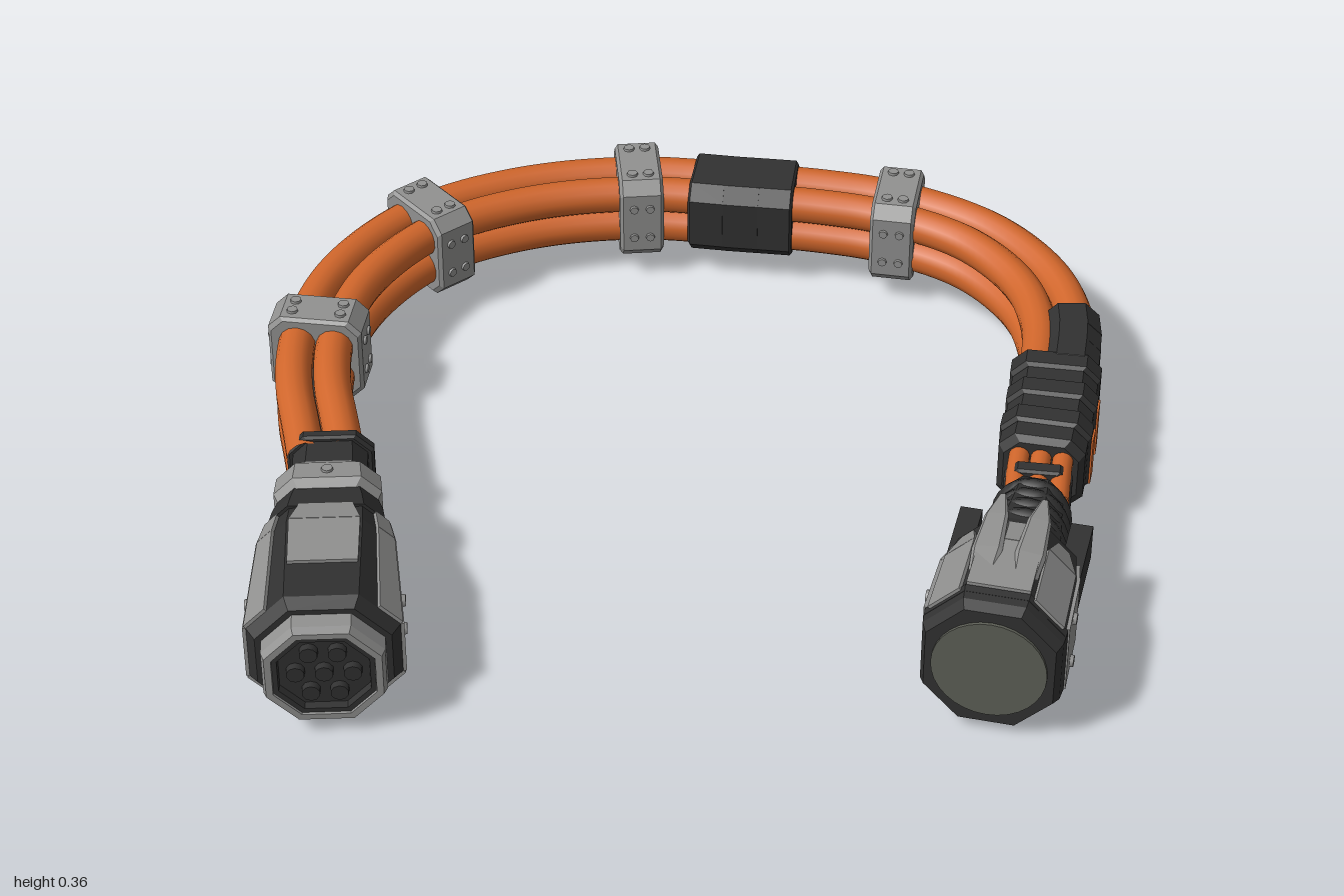
import * as THREE from 'three';

const flat = (name, color) => {
  const m = new THREE.MeshStandardMaterial({ color });
  m.name = name;
  return m;
};

// Eight corners of a chamfered rectangle at depth z
const ring = ([z, hw, hh, c]) => [
  [hw, c - hh], [hw, hh - c], [hw - c, hh], [c - hw, hh],
  [-hw, hh - c], [-hw, c - hh], [c - hw, -hh], [hw - c, -hh],
].map(([x, y]) => new THREE.Vector3(x, y, z));

const faceted = (tris) => {
  const g = new THREE.BufferGeometry().setFromPoints(tris);
  g.computeVertexNormals();
  return g;
};

// Hard-edged loft through sections [z, halfWidth, halfHeight, chamfer]
function loft(sections) {
  const rings = sections.map(ring), tris = [];
  for (let i = 0; i + 1 < rings.length; i++) {
    for (let k = 0; k < 8; k++) {
      const n = (k + 1) % 8, A = rings[i], B = rings[i + 1];
      tris.push(A[k], A[n], B[n], A[k], B[n], B[k]);
    }
  }
  const s = rings[0], e = rings[rings.length - 1];
  for (let k = 1; k < 7; k++) tris.push(s[0], s[k + 1], s[k], e[0], e[k], e[k + 1]);
  return faceted(tris);
}

// Raised armour plate on facet k between two sections; u runs across, t along
function plate(a, b, k, u0, u1, t0, t1, taper = 0) {
  const A = ring(a), B = ring(b), n = (k + 1) % 8;
  const p = (u, t) => A[k].clone().lerp(A[n], u).lerp(B[k].clone().lerp(B[n], u), t);
  const q = [p(u0 + taper, t0), p(u1 - taper, t0), p(u1, t1), p(u0, t1)];
  const nor = q[1].clone().sub(q[0]).cross(q[3].clone().sub(q[0])).normalize();
  const o = q.map((v) => v.clone().addScaledVector(nor, 0.008));
  const d = q.map((v) => v.clone().addScaledVector(nor, -0.006));
  const tris = [o[0], o[1], o[2], o[0], o[2], o[3]];
  for (let i = 0; i < 4; i++) {
    const j = (i + 1) % 4;
    tris.push(d[i], d[j], o[j], d[i], o[j], o[i]);
  }
  return faceted(tris);
}

// Short band with bevelled ends
const band = (len, hw, hh, c, bevel = 0.01) => loft([
  [-len / 2, hw - bevel, hh - bevel, c], [-len / 2 + bevel, hw, hh, c],
  [len / 2 - bevel, hw, hh, c], [len / 2, hw - bevel, hh - bevel, c]]);

export function createModel() {
  const orange = flat('orange cable', 0xd0662b), grey = flat('grey metal', 0x919190);
  const dark = flat('dark rubber', 0x313131), lens = flat('end disc', 0x5d5f56);
  const model = new THREE.Group();
  const add = (parent, name, geo, mat, x = 0, y = 0, z = 0) => {
    const m = new THREE.Mesh(geo, mat);
    m.name = name;
    m.position.set(x, y, z);
    parent.add(m);
    return m;
  };
  const group = (name, x, y, z, turn) => {
    const g = new THREE.Group();
    g.name = name;
    g.position.set(x, y, z);
    g.rotation.y = turn;
    model.add(g);
    return g;
  };

  // Centre line of the cable bundle
  const path = new THREE.CatmullRomCurve3([
    [-0.775, 0.34], [-0.81, 0.2], [-0.86, 0], [-0.872, -0.2], [-0.82, -0.44], [-0.67, -0.67],
    [-0.44, -0.81], [-0.16, -0.875], [0.1, -0.865], [0.3, -0.85], [0.49, -0.81], [0.7, -0.7],
    [0.84, -0.52], [0.89, -0.33], [0.88, -0.1], [0.865, 0.05], [0.845, 0.2], [0.835, 0.34],
  ].map(([x, z]) => new THREE.Vector3(x, 0.175, z)));
  const samples = path.getSpacedPoints(500);
  const nearest = (x, z) => {
    let best = 0;
    samples.forEach((p, i) => {
      if (Math.hypot(p.x - x, p.z - z) < Math.hypot(samples[best].x - x, samples[best].z - z)) best = i;
    });
    return best / 500;
  };
  // Group riding the path: local z follows it, local x points outward
  const station = (name, x, z, skew = 0) => {
    const u = nearest(x, z), p = path.getPointAt(u), t = path.getTangentAt(u);
    return group(name, p.x, p.y, p.z, Math.atan2(t.x, t.z) + skew);
  };
  const strand = (name, mat, u0, u1, side, up, r, steps) => {
    const pts = [];
    for (let i = 0; i <= steps; i++) {
      const u = u0 + (u1 - u0) * i / steps, p = path.getPointAt(u), t = path.getTangentAt(u);
      pts.push(new THREE.Vector3(p.x + t.z * side, p.y + up, p.z - t.x * side));
    }
    add(model, name, new THREE.TubeGeometry(new THREE.CatmullRomCurve3(pts), steps * 3, r, 14), mat);
  };

  // Four main cables round a dark core, then thin strands at the right end
  const start = nearest(-0.787, 0.29), split = nearest(0.85, 0.15);
  for (const s of [-1, 1]) for (const v of [-1, 1]) strand('cable', orange, start, split, s * 0.045, v * 0.043, 0.0445, 44);
  strand('core', dark, start, 1, 0, 0, 0.034, 44);
  for (const s of [-1, 0, 1]) for (const v of [-1, 0, 1]) strand('thinStrand', orange, split - 0.01, 1, s * 0.05, v * 0.045, 0.024, 5);

  // Bolted clamps
  const bolt = (parent, x, y, z, axis = 'y', r = 0.016) => {
    const b = add(parent, 'bolt', new THREE.CylinderGeometry(r * 0.8, r, 0.016, 8), grey, x, y, z);
    if (axis === 'x') b.rotation.z = -Math.sign(x) * Math.PI / 2;
    else if (y < 0) b.rotation.x = Math.PI;
  };
  for (const [x, z, skew] of [[-0.88, -0.19, 0], [-0.67, -0.68, 0], [-0.16, -0.88, 0.06], [0.49, -0.81, 0.24]]) {
    const c = station('clamp', x, z, skew);
    add(c, 'clampBody', band(0.11, 0.113, 0.111, 0.03, 0.008), grey);
    for (const a of [-1, 1]) for (const b of [-1, 1]) for (const d of [-0.02, 0.02]) {
      bolt(c, a * 0.058, b * 0.109, d);
      bolt(c, a * 0.111, b * 0.042, d, 'x', 0.013);
    }
  }

  // Rubber tape on the back and right runs
  for (const x of [0.025, 0.105, 0.185])
    add(station('backTape', x, -0.86), 'tapeWrap', band(0.1, 0.102, 0.099, 0.035, 0.006), dark);
  for (const z of [-0.31, -0.25, -0.19])
    add(station('outerTape', 0.89, z), 'tapeWrap', band(0.1, 0.068, 0.103, 0.035), dark, 0.03);
  for (const [i, z] of [-0.13, -0.075, -0.02, 0.035, 0.09, 0.145].entries()) {
    const t = station('rightTape', 0.87, z), w = i % 2 ? 0.1 : 0.106;
    add(t, 'tapeWrap', band(0.075, w, w - 0.004, 0.035, 0.014), dark);
    // Gaps in the wrap showing the cable
    if (i === 2 || i === 4) add(t, 'cableWindow', new THREE.BoxGeometry(0.009, 0.125, 0.047), orange, w, -0.005, 0);
  }
  add(station('strandTie', 0.84, 0.25), 'tie', band(0.04, 0.078, 0.075, 0.03, 0.006), dark);

  // Left connector: dark core with grey armour and an octagonal socket
  const L = group('socketConnector', -0.775, 0.17, 0.3, 0.12);
  add(L, 'cableTie', band(0.03, 0.1, 0.1, 0.04, 0.006), dark, 0, 0, -0.03);
  add(L, 'neck', loft([[-0.02, 0.086, 0.088, 0.035], [0.09, 0.085, 0.09, 0.03]]), dark);
  add(L, 'collar', loft([[0.06, 0.085, 0.09, 0.035], [0.11, 0.118, 0.125, 0.045],
    [0.17, 0.122, 0.13, 0.045], [0.19, 0.11, 0.115, 0.045]]), grey);
  add(L, 'waist', loft([[0.18, 0.112, 0.112, 0.04], [0.22, 0.124, 0.12, 0.045], [0.27, 0.13, 0.13, 0.045]]), dark);
  const a = [0.25, 0.13, 0.118, 0.05], b = [0.34, 0.147, 0.142, 0.063], c = [0.61, 0.167, 0.153, 0.086];
  add(L, 'housingCore', loft([a, b, c, [0.64, 0.148, 0.138, 0.077]]), dark);
  for (const k of [2, 6]) {
    add(L, 'topPlate', plate(a, b, k, 0.03, 0.97, 0.15, 1, 0.1), grey);
    add(L, 'topPlate', plate(b, c, k, 0.03, 0.97, 0, 0.57), grey);
    bolt(L, 0, k === 2 ? 0.126 : -0.126, 0.14);
  }
  for (const k of [1, 3, 5, 7]) {
    const [u0, u1] = k % 4 === 1 ? [0, 0.55] : [0.45, 1];
    add(L, 'cornerPlate', plate(a, b, k, u0, u1, 0.2, 1), grey);
    add(L, 'cornerPlate', plate(b, c, k, u0, u1, 0, 1), grey);
  }
  for (const k of [0, 4]) {
    add(L, 'sidePlate', plate(a, b, k, 0, 1, 0.2, 1), grey);
    add(L, 'sidePlate', plate(b, c, k, 0, 1, 0, 1), grey);
    for (const v of [-0.04, 0.04]) bolt(L, k ? -0.168 : 0.168, v, 0.5, 'x');
  }
  add(L, 'socketRim', loft([[0.62, 0.134, 0.126, 0.07], [0.68, 0.134, 0.126, 0.07], [0.7, 0.127, 0.12, 0.067],
    [0.7, 0.112, 0.106, 0.059], [0.67, 0.108, 0.102, 0.057]]), grey);
  add(L, 'socketLining', loft([[0.66, 0.111, 0.105, 0.058], [0.694, 0.111, 0.105, 0.058], [0.694, 0.1, 0.094, 0.053],
    [0.675, 0.098, 0.092, 0.052]]), dark);
  for (let i = 0; i < 7; i++) {
    const r = i ? 0.062 : 0, t = i * Math.PI / 3;
    const pin = add(L, 'pin', new THREE.CylinderGeometry(0.02, 0.022, 0.03, 10), dark, r * Math.cos(t), r * Math.sin(t), 0.677);
    pin.rotation.x = Math.PI / 2;
  }

  // Right connector: ribbed sleeve, armoured shell and a capped round end
  const R = group('cappedConnector', 0.835, 0.19, 0.3, -0.17);
  for (let i = 0; i < 4; i++) {
    const rib = add(R, 'strainRib', new THREE.TorusGeometry(0.07 + i * 0.004, 0.022, 8, 24), dark, 0, -0.008, 0.045 + i * 0.042);
    rib.scale.y = 1.1;
  }
  add(R, 'sleeve', loft([[0.02, 0.065, 0.08, 0.035], [0.2, 0.088, 0.1, 0.045], [0.28, 0.115, 0.13, 0.055],
    [0.36, 0.13, 0.145, 0.065]]), dark);
  const f = [0.26, 0.132, 0.136, 0.068], g = [0.36, 0.147, 0.161, 0.078], h = [0.55, 0.152, 0.166, 0.082];
  add(R, 'shellCore', loft([f, g, h]), dark);
  for (let k = 0; k < 8; k++) {
    const [u0, u1] = k % 2 ? [0.1, 0.9] : [0, 1];
    add(R, 'shellPlate', plate(f, g, k, u0, u1, k % 2 ? 0.35 : 0.1, 1, k % 2 ? 0.22 : 0.12), grey);
    add(R, 'shellPlate', plate(g, h, k, u0, u1, 0, k % 2 ? 0.95 : 0.88), grey);
  }
  // Pointed claws reaching back over the sleeve
  for (const v of [-1, 1]) for (const s of [-1, 1]) {
    const claw = add(R, 'claw', loft([[0.2, 0.008, 0.01, 0.003], [0.28, 0.026, 0.018, 0.006],
      [0.4, 0.034, 0.02, 0.008], [0.5, 0.026, 0.01, 0.006]]), grey, s * 0.046, v * 0.155, 0);
    claw.rotation.z = -s * v * 0.12;
  }
  for (const s of [-1, 1]) {
    add(R, 'sideLatch', new THREE.BoxGeometry(0.05, 0.09, 0.2), dark, s * 0.125, 0.01, 0.23);
    for (const v of [-0.06, 0.06]) bolt(R, s * 0.158, v, 0.46, 'x');
  }
  add(R, 'endCap', loft([[0.53, 0.156, 0.168, 0.085], [0.57, 0.153, 0.163, 0.085], [0.595, 0.142, 0.152, 0.08]]), dark);
  const disc = add(R, 'endDisc', new THREE.CylinderGeometry(0.127, 0.127, 0.012, 32), lens, 0, 0, 0.596);
  disc.rotation.x = Math.PI / 2;

  return model;
}
